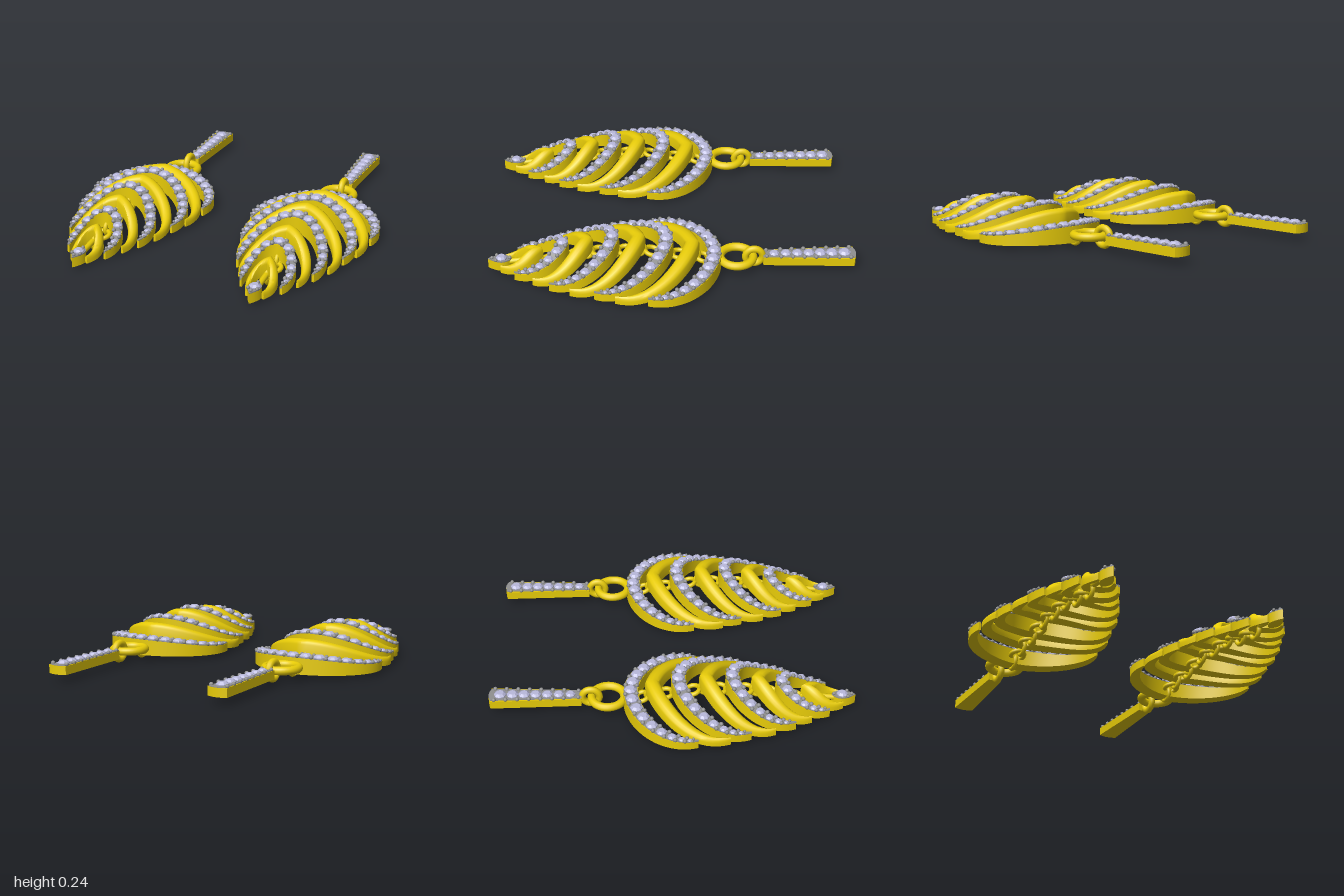
import * as THREE from 'three';
import { toCreasedNormals } from 'three/addons/utils/BufferGeometryUtils.js';

const gold = new THREE.MeshStandardMaterial({ color: 0xe8cc08 });
const silver = new THREE.MeshStandardMaterial({ color: 0x909090 });
const stone = new THREE.MeshStandardMaterial({ color: 0xb9b9dc, flatShading: true });
const V = (x, y, z) => new THREE.Vector3(x, y, z);

function add(group, name, geometry, material, x = 0, y = 0, z = 0) {
  const mesh = new THREE.Mesh(geometry, material);
  mesh.name = name;
  mesh.position.set(x, y, z);
  group.add(mesh);
  return mesh;
}

// Skins a list of equal-length rings of points, with flat end caps
function loft(rings) {
  const k = rings[0].length, n = rings.length, index = [];
  for (let i = 0; i < n - 1; i++) {
    for (let j = 0; j < k; j++) {
      const a = i * k + j, b = i * k + (j + 1) % k;
      index.push(a, b, a + k, b, b + k, a + k);
    }
  }
  const e = (n - 1) * k;
  for (let j = 1; j < k - 1; j++) index.push(0, j + 1, j, e, e + j, e + j + 1);
  const g = new THREE.BufferGeometry().setFromPoints(rings.flat());
  g.setIndex(index);
  return toCreasedNormals(g, 0.7);
}

// Flat plate drawn in x/z, extruded downwards from its top
function plate(shape, depth) {
  const g = new THREE.ExtrudeGeometry(shape, { depth, bevelEnabled: false, curveSegments: 10 });
  return g.rotateX(Math.PI / 2);
}

const gemShape = new THREE.LatheGeometry(
  [[0, -0.3], [1, -0.1], [1, 0.1], [0.6, 0.45], [0, 0.45]].map(p => new THREE.Vector2(...p)), 8);
const beadShape = new THREE.SphereGeometry(1, 8, 6);
function gem(group, p, r) {
  add(group, 'gem', gemShape, stone, p.x, p.y, p.z).scale.setScalar(r);
}
function bead(group, p, r) {
  add(group, 'prong', beadShape, silver, p.x, p.y, p.z).scale.setScalar(r);
}

// Rib: apex z, tip z, tip x, side bulge x, top height of apex, jewelled or not
const ribs = [
  [-0.27, 0.13, 0.355, 0.42, 0.115, true],
  [-0.15, 0.30, 0.33, 0.415, 0.19, false],
  [-0.01, 0.41, 0.295, 0.385, 0.20, true],
  [0.14, 0.54, 0.26, 0.345, 0.232, false],
  [0.28, 0.65, 0.215, 0.295, 0.22, true],
  [0.42, 0.74, 0.165, 0.235, 0.22, false],
  [0.55, 0.84, 0.115, 0.18, 0.18, true],
  [0.69, 0.92, 0.05, 0.115, 0.155, false],
];

function makeRib([za, zt, w, bulge, top, jewelled], i) {
  const group = new THREE.Group();
  group.name = jewelled ? 'jewelledRib' : 'plainRib';
  const L = zt - za, th = 0.08 - i * 0.002, point = jewelled ? 0.008 : 0.045;
  const p1 = 0.5 * w + 0.03;
  const outer = new THREE.CubicBezierCurve3(V(0, 0, za), V(p1, 0, za + point),
    V(bulge, 0, za + 0.5 * L), V(w, 0, zt));
  const inner = new THREE.CubicBezierCurve3(V(0, 0, za + th), V(p1 * 0.85, 0, za + th + point),
    V(bulge - th, 0, za + 0.5 * L + 0.04), V(w - 0.012, 0, zt));
  // Point on the rib: s runs tip to tip, f from outer to inner edge
  const rise = s => Math.cos(s * Math.PI / 2) ** 2;
  const topY = s => 0.065 + (top - 0.065) * rise(s);
  const lowY = s => 0.02 + Math.max(0, top - 0.11) * rise(s);
  const at = (s, f, y) => {
    const p = outer.getPoint(Math.abs(s)).lerp(inner.getPoint(Math.abs(s)), f);
    return V(s < 0 ? -p.x : p.x, y, p.z);
  };
  const N = 40;
  const sweep = section => loft(Array.from({ length: N + 1 }, (_, j) => section(j / N * 2 - 1)));

  if (!jewelled) {
    add(group, 'ribBody', sweep(s => {
      const ring = [at(s, 0, lowY(s))], h = 0.025;
      for (let a = 0; a <= 6; a++) {
        const q = a / 6 * Math.PI;
        ring.push(at(s, 0.5 - 0.5 * Math.cos(q), topY(s) - h + h * Math.sin(q)));
      }
      ring.push(at(s, 1, lowY(s)));
      return ring;
    }), gold);
    return group;
  }
  const box = (s, f, y0, y1) => [at(s, f, y0), at(s, f, y1), at(s, 1 - f, y1), at(s, 1 - f, y0)];
  add(group, 'ribBody', sweep(s => box(s, 0, lowY(s), topY(s))), gold);
  add(group, 'paveBed', sweep(s => box(s, 0.04, topY(s) - 0.01, topY(s) + 0.004)), silver);
  // Row of gems shrinking from apex to tips, with prongs between them
  const size = s => 0.45 * at(s, 0, 0).distanceTo(at(s, 1, 0));
  let s = 0;
  while (s < 0.95) {
    const r = Math.min(size(s), 0.034);
    for (const m of s ? [-1, 1] : [1]) gem(group, at(m * s, 0.5, topY(s) + 0.006), r);
    const from = at(s, 0.5, topY(s));
    let next = s;
    while (next < 1 && at(next, 0.5, topY(next)).distanceTo(from) < 2 * r + 0.004) next += 0.005;
    const mid = (s + next) / 2;
    for (const m of [-mid, mid]) {
      for (const f of [0.12, 0.88]) bead(group, at(m, f, topY(mid) + 0.008), Math.min(0.012, r * 0.6));
    }
    s = next;
  }
  return group;
}

function makeEarring() {
  const e = new THREE.Group();
  e.name = 'earring';
  ribs.forEach((r, i) => e.add(makeRib(r, i)));

  // Chain of alternating links under the rib apexes
  const link = new THREE.TorusGeometry(0.038, 0.013, 8, 20);
  ribs.forEach(([z, , , , top], i) => {
    const y = Math.max(top - 0.1, 0.052);
    add(e, 'uprightLink', link, gold, 0, y, z + 0.04).rotation.y = Math.PI / 2;
    if (i < 7) {
      const y2 = Math.max(ribs[i + 1][4] - 0.1, 0.052);
      const flat = add(e, 'flatLink', link, gold, 0, (y + y2) / 2, (z + ribs[i + 1][0]) / 2 + 0.04);
      flat.rotation.x = Math.PI / 2 + Math.atan2(y - y2, 0.14);
    }
  });
  const strut = new THREE.LineCurve3(V(0, 0.075, 0.75), V(0, 0.06, 0.88));
  add(e, 'dropStrut', new THREE.TubeGeometry(strut, 2, 0.016, 8), gold);

  // Pointed drop at the lower end
  const leaf = new THREE.Shape();
  leaf.moveTo(0, 0.86);
  leaf.quadraticCurveTo(0.034, 0.885, 0.034, 0.915);
  leaf.quadraticCurveTo(0.03, 0.95, 0, 0.99);
  leaf.quadraticCurveTo(-0.03, 0.95, -0.034, 0.915);
  leaf.quadraticCurveTo(-0.034, 0.885, 0, 0.86);
  add(e, 'drop', plate(leaf, 0.055), gold, 0, 0.075, 0);
  add(e, 'dropBed', plate(leaf, 0.006), silver, 0, 0.08, 0);
  gem(e, V(0, 0.084, 0.917), 0.03);
  for (const [x, z] of [[0, 0.872], [0.024, 0.945], [-0.024, 0.945], [0, 0.968]]) bead(e, V(x, 0.084, z), 0.01);

  // Jump ring and the upright loop of the bar
  add(e, 'jumpRing', new THREE.TorusGeometry(0.089, 0.023, 12, 40), gold, 0, 0.073, -0.352).rotation.x = Math.PI / 2;
  add(e, 'barLoop', new THREE.TorusGeometry(0.046, 0.019, 10, 28), gold, 0, 0.075, -0.445).rotation.y = Math.PI / 2;

  // Tapered jewelled bar
  const barShape = k => {
    const s = new THREE.Shape();
    s.moveTo(-0.038 * k, -0.495);
    s.lineTo(0.038 * k, -0.495);
    s.lineTo(0.056 * k, -0.985);
    s.quadraticCurveTo(0, -1.01, -0.056 * k, -0.985);
    s.closePath();
    return s;
  };
  add(e, 'bar', plate(barShape(1), 0.048), gold, 0, 0.088, 0);
  add(e, 'barBed', plate(barShape(0.86), 0.006), silver, 0, 0.091, 0);
  for (let i = 0; i < 7; i++) {
    const z = -0.93 + i * 0.0625, half = 0.046 - i * 0.0022;
    gem(e, V(0, 0.092, i ? z : z - 0.005), 0.034 - i * 0.0012);
    for (const x of [-half, half]) bead(e, V(x, 0.093, z - 0.035), 0.012);
  }
  for (const x of [-0.028, 0.028]) bead(e, V(x, 0.093, -0.512), 0.011);
  return e;
}

export function createModel() {
  const model = new THREE.Group();
  model.name = 'earringPair';
  for (const x of [-0.5, 0.5]) {
    const e = makeEarring();
    e.position.x = x;
    model.add(e);
  }
  return model;
}
